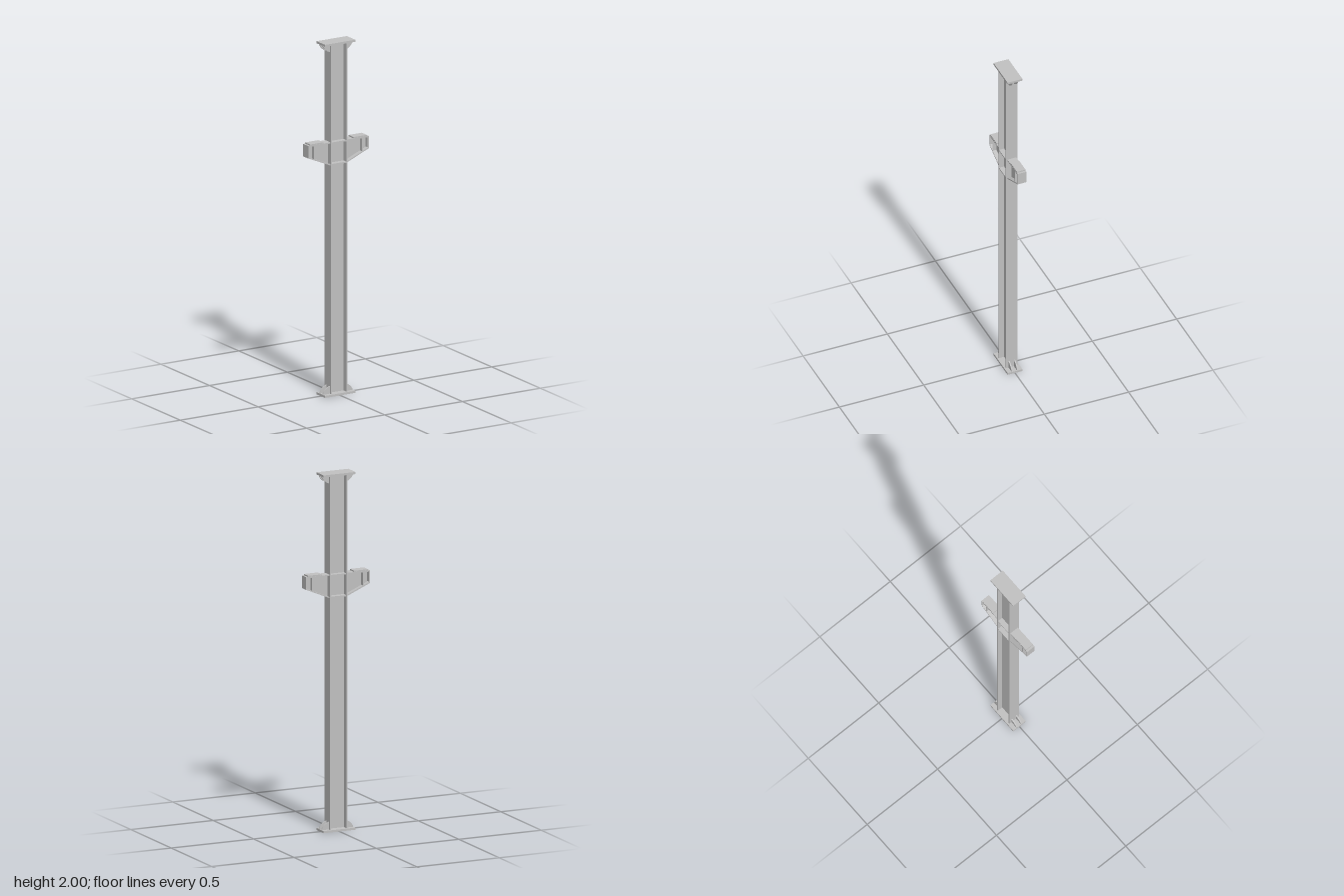
import * as THREE from 'three';

export function createModel() {
  const model = new THREE.Group();
  model.name = 'steelColumn';
  const steel = new THREE.MeshStandardMaterial({ color: 0xc0c0c0 });
  steel.name = 'grey steel';

  const add = (parent, name, geometry) => {
    const mesh = new THREE.Mesh(geometry, steel);
    mesh.name = name;
    parent.add(mesh);
    return mesh;
  };
  // Box given by its extents in x and y, centred on z
  const plate = (parent, name, x0, x1, y0, y1, depth) => {
    const mesh = add(parent, name, new THREE.BoxGeometry(x1 - x0, y1 - y0, depth));
    mesh.position.set((x0 + x1) / 2, (y0 + y1) / 2, 0);
    return mesh;
  };
  // Outline in x and y, extruded and centred on z
  const profile = (parent, name, shape, depth, z = 0) => {
    const geometry = new THREE.ExtrudeGeometry(shape, { depth, bevelEnabled: false, curveSegments: 8 });
    geometry.translate(0, 0, z - depth / 2);
    return add(parent, name, geometry);
  };
  const polygon = (points) => new THREE.Shape(points.map(([x, y]) => new THREE.Vector2(x, y)));

  const halfWidth = 0.052, flange = 0.006, inner = halfWidth - flange;
  const cap = 0.012;

  // Column: web, end plates and stiffeners level with the bracket flanges
  plate(model, 'columnWeb', -inner, inner, cap, 2 - cap, 0.006);
  plate(model, 'basePlate', -0.097, 0.097, 0, cap, 0.088);
  plate(model, 'topPlate', -0.097, 0.097, 2 - cap, 2, 0.088);
  plate(model, 'upperStiffener', -inner, inner, 1.43, 1.437, 0.066);
  plate(model, 'lowerStiffener', -inner, inner, 1.308, 1.315, 0.066);

  // Underside height of the tapered bracket
  const under = (x) => 1.306 + (x - halfWidth) * 0.425;
  const tip = 0.194, top = 1.437, t = 0.007, width = 0.053;

  for (const turn of [0, Math.PI]) {
    const side = new THREE.Group();
    side.name = turn ? 'rightSide' : 'leftSide';
    side.rotation.y = turn;
    model.add(side);

    plate(side, 'columnFlange', inner, halfWidth, cap, 2 - cap, 0.068);

    // Bracket arm
    plate(side, 'bracketTopFlange', halfWidth, tip - t, top - t, top, width);
    profile(side, 'bracketBottomFlange', polygon([
      [halfWidth, under(halfWidth)], [tip, under(tip)],
      [tip, under(tip) + t], [halfWidth, under(halfWidth) + t],
    ]), width);
    profile(side, 'bracketWeb', polygon([
      [halfWidth, under(halfWidth) + t], [tip - t, under(tip - t) + t],
      [tip - t, top - t], [halfWidth, top - t],
    ]), 0.006);
    plate(side, 'bracketEndPlate', tip - t, tip, under(tip) + t, top, width);
    plate(side, 'bracketStiffener', 0.151, 0.157, under(0.154) + t, top - t, width - 0.002);
    plate(side, 'bearingPad', 0.097, 0.182, top, 1.444, width - 0.002);

    // Curved gussets at both ends, in pairs
    for (const z of [-0.016, 0.016]) {
      for (const end of ['lower', 'upper']) {
        const y = (h) => (end === 'lower' ? h : 2 - h);
        const shape = new THREE.Shape();
        shape.moveTo(halfWidth, y(cap));
        shape.lineTo(0.096, y(cap));
        shape.quadraticCurveTo(0.086, y(0.042), halfWidth, y(0.054));
        shape.closePath();
        profile(side, end + 'Gusset', shape, 0.007, z);
      }
    }
  }
  return model;
}
